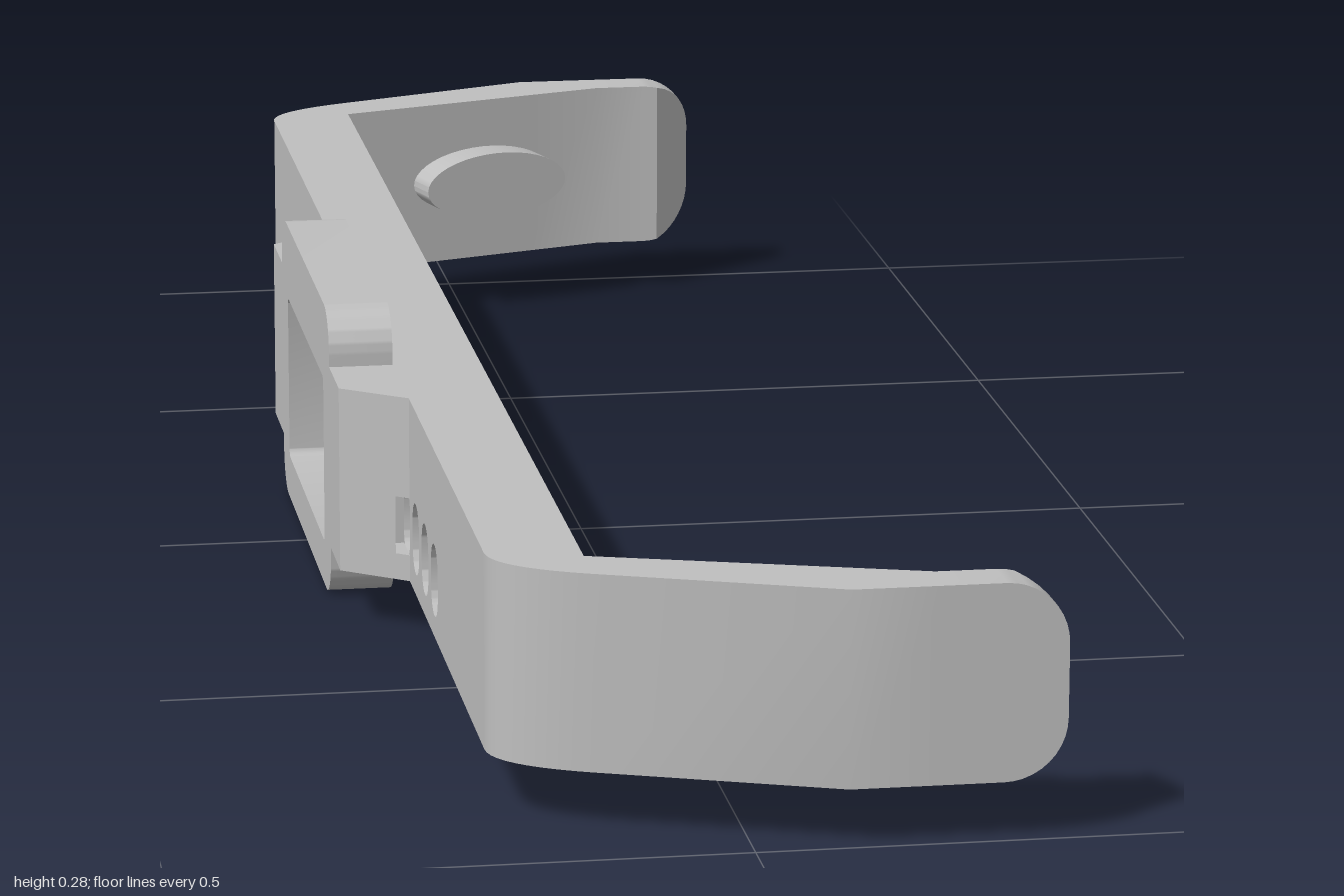
import * as THREE from 'three';
import { toCreasedNormals } from 'three/addons/utils/BufferGeometryUtils.js';

const grey = new THREE.MeshStandardMaterial({ color: 0xbfbfbf });
grey.name = 'grey plastic';

const MID = 0.14;             // mid height of the strap
const BOTTOM = 0.052, TOP = 0.228;
const BACK = -0.21, FRONT = -0.127; // strap faces along x

function part(name, geometry) {
  const mesh = new THREE.Mesh(toCreasedNormals(geometry, 0.5), grey);
  mesh.name = name;
  return mesh;
}

// Rounded rectangle in (z, y)
function roundRect(path, z0, y0, z1, y1, r) {
  path.moveTo(z0 + r, y0);
  path.lineTo(z1 - r, y0);
  path.absarc(z1 - r, y0 + r, r, -Math.PI / 2, 0);
  path.lineTo(z1, y1 - r);
  path.absarc(z1 - r, y1 - r, r, 0, Math.PI / 2);
  path.lineTo(z0 + r, y1);
  path.absarc(z0 + r, y1 - r, r, Math.PI / 2, Math.PI);
  path.lineTo(z0, y0 + r);
  path.absarc(z0 + r, y0 + r, r, Math.PI, Math.PI * 1.5);
  return path;
}

// Extrude a (z, y) shape from xFront back to xBack
function extrudeX(shape, xFront, xBack) {
  return new THREE.ExtrudeGeometry(shape, { depth: xFront - xBack, bevelEnabled: false, curveSegments: 10 })
    .rotateY(-Math.PI / 2).translate(xFront, 0, 0);
}

// Extrude an (x, z) plan between two heights
function extrudeY(points, y0, y1) {
  const shape = new THREE.Shape(points.map(([x, z]) => new THREE.Vector2(x, -z)));
  return new THREE.ExtrudeGeometry(shape, { depth: y1 - y0, bevelEnabled: false })
    .rotateX(-Math.PI / 2).translate(0, y0, 0);
}

// Straight strap, notched in the middle and pierced by slots
function strapGeometry() {
  const outline = [[-0.84, BOTTOM], [-0.155, BOTTOM], [-0.155, 0.205], [0.155, 0.205],
    [0.155, BOTTOM], [0.84, BOTTOM], [0.84, TOP], [-0.84, TOP]];
  const shape = new THREE.Shape(outline.map(p => new THREE.Vector2(...p)));
  for (const side of [-1, 1]) {
    for (const z of [0.31, 0.376, 0.443, 0.51]) {
      shape.holes.push(roundRect(new THREE.Path(), side * z - 0.024, 0.072, side * z + 0.024, 0.139, 0.0235));
    }
  }
  return extrudeX(shape, FRONT, BACK);
}

// Bent arm: stations along x hold outer z, inner z; the tip is rounded in height
function armGeometry() {
  const r = 0.055, xr = 0.268 - r, half = (TOP - BOTTOM) / 2;
  const bend = new THREE.QuadraticBezierCurve(
    new THREE.Vector2(BACK, 0.845), new THREE.Vector2(BACK, 0.89), new THREE.Vector2(FRONT, 0.922));
  const stations = bend.getPoints(10).map(p => [p.x, p.y, 0.84]);
  const xs = [FRONT, 0.08, 0.16, 0.228];
  for (let i = 0; i <= 10; i++) xs.push(xr + r * Math.sin(i / 10 * Math.PI / 2));
  xs.sort((a, b) => a - b);
  const mix = THREE.MathUtils.mapLinear;
  for (const x of xs) {
    const outer = x < 0.08 ? mix(x, FRONT, 0.08, 0.922, 1) : 1;
    const inner = x < 0.16 ? mix(x, FRONT, 0.16, 0.867, 0.957)
      : x < 0.228 ? 0.957 : mix(x, 0.228, 0.268, 0.957, 1);
    stations.push([x, outer, inner]);
  }
  const positions = [], index = [];
  stations.forEach(([x, outer, inner], i) => {
    const d = Math.max(0, x - xr);
    const h = half - r + Math.sqrt(Math.max(0, r * r - d * d));
    positions.push(x, -h, outer, x, h, outer, x, h, inner, x, -h, inner);
    if (i === stations.length - 1) return;
    for (let k = 0; k < 4; k++) {
      const a = i * 4 + k, d2 = i * 4 + (k + 1) % 4;
      index.push(a, a + 4, d2 + 4, a, d2 + 4, d2);
    }
  });
  index.push(0, 1, 2, 0, 2, 3);
  const geometry = new THREE.BufferGeometry();
  geometry.setAttribute('position', new THREE.Float32BufferAttribute(positions, 3));
  geometry.setIndex(index);
  return geometry;
}

export function createModel() {
  const model = new THREE.Group();
  model.name = 'bracket';
  model.add(part('strap', strapGeometry()));

  // Arms with oval pads; the second pair is turned half round about x
  const slope = Math.atan2(0.09, 0.287);
  for (const [name, turn] of [['front', 0], ['rear', Math.PI]]) {
    const group = new THREE.Group();
    group.name = name + 'End';
    group.position.y = MID;
    group.rotation.x = turn;
    const pad = new THREE.CylinderGeometry(1, 1, 0.06, 40).rotateX(Math.PI / 2)
      .scale(0.083, 0.036, 1).translate(0, 0, -0.007)
      .rotateY(-slope).translate(0.027, 0, 0.915);
    group.add(part(name + 'Arm', armGeometry()), part(name + 'Pad', pad));
    model.add(group);
  }

  // Rounded window frame on the back of the strap
  const frame = roundRect(new THREE.Shape(), -0.207, 0, 0.207, 0.279, 0.04);
  frame.holes.push(roundRect(new THREE.Path(), -0.155, 0.043, 0.155, 0.205, 0.008));
  model.add(part('windowFrame', extrudeX(frame, BACK, -0.27)));

  // Sloped shoulders beside the frame, with a shallow pocket behind the nearest slot
  for (const s of [-1, 1]) {
    const full = [[BACK, 0.2 * s], [-0.27, 0.2 * s], [-0.27, 0.285 * s], [BACK, 0.33 * s]];
    const pocket = [[BACK, 0.2 * s], [-0.27, 0.2 * s], [-0.27, 0.285 * s],
      [-0.222, 0.321 * s], [-0.222, 0.287 * s], [BACK, 0.287 * s]];
    const shoulder = new THREE.Group();
    shoulder.name = s > 0 ? 'frontShoulder' : 'rearShoulder';
    shoulder.add(
      part('shoulderBottom', extrudeY(full, BOTTOM, 0.077)),
      part('shoulderPocket', extrudeY(pocket, 0.077, 0.132)),
      part('shoulderTop', extrudeY(full, 0.132, TOP)));
    model.add(shoulder);
  }
  return model;
}
